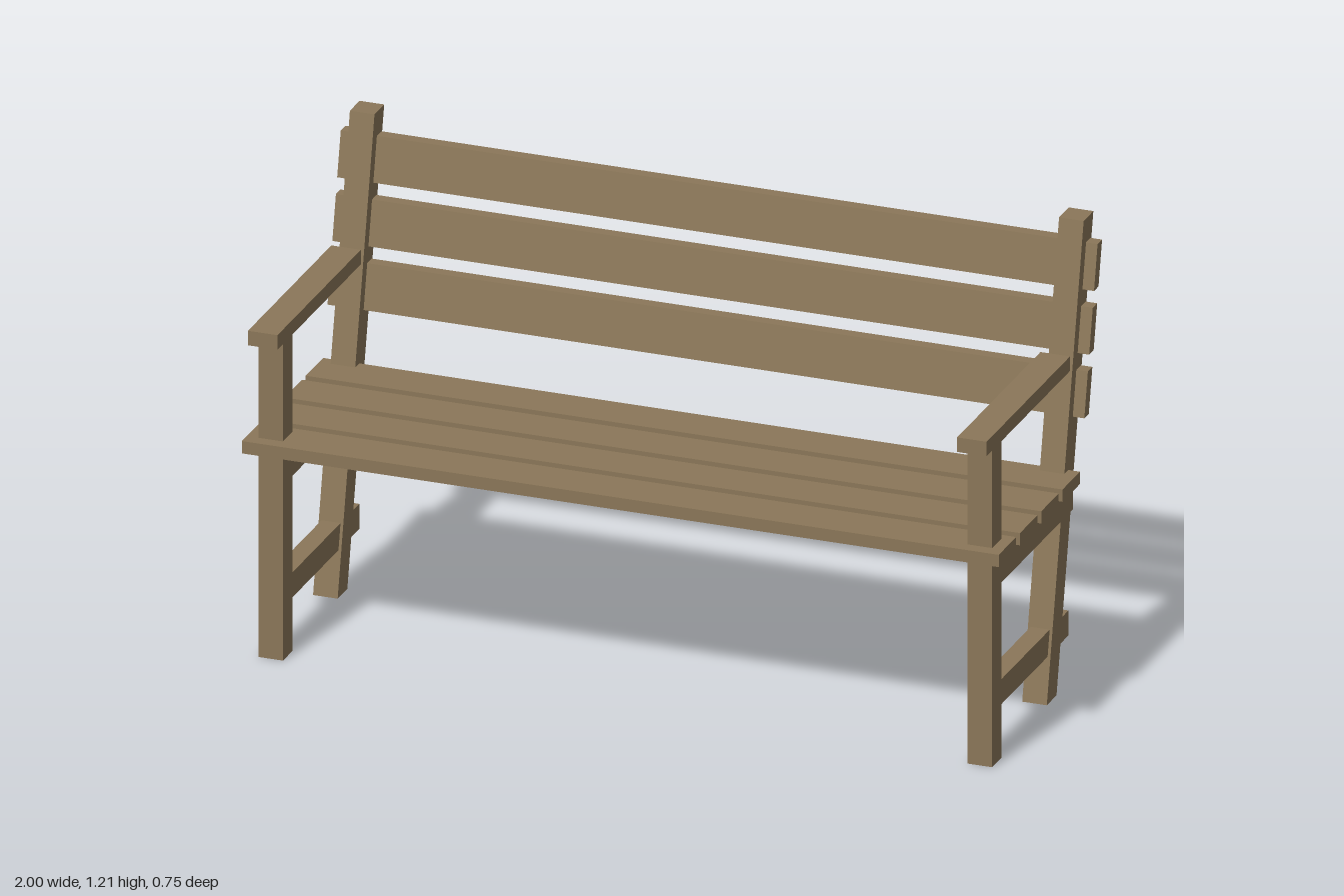
import * as THREE from 'three';

const SLOPE = -0.2122; // backward lean of the rear legs, z per unit of y
const LEG = 0.065;
const SIDE_X = 0.937;

// centre line of the leaning rear leg
const leanZ = (y) => -0.0865 + SLOPE * (y - 0.016);

export function createModel() {
  const bench = new THREE.Group();
  bench.name = 'bench';
  const wood = new THREE.MeshStandardMaterial({ color: 0x8b7759 });
  wood.name = 'wood';

  // Box given by its centre x, width and its y and z limits
  const board = (name, x, width, y0, y1, z0, z1, parent) => {
    const mesh = new THREE.Mesh(new THREE.BoxGeometry(width, y1 - y0, z1 - z0), wood);
    mesh.position.set(x, (y0 + y1) / 2, (z0 + z1) / 2);
    mesh.name = name;
    parent.add(mesh);
  };

  // Box sheared along the lean, keeping its top and bottom level
  const leaningBoard = (name, x, width, y0, y1, depth, offset, parent) => {
    const geometry = new THREE.BoxGeometry(width, y1 - y0, depth);
    geometry.applyMatrix4(new THREE.Matrix4().set(
      1, 0, 0, 0,
      0, 1, 0, 0,
      0, SLOPE, 1, 0,
      0, 0, 0, 1));
    geometry.computeVertexNormals();
    const mesh = new THREE.Mesh(geometry, wood);
    const y = (y0 + y1) / 2;
    mesh.position.set(x, y, leanZ(y) + offset);
    mesh.name = name;
    parent.add(mesh);
  };

  // Side frames
  for (const [side, sign] of [['left', 1], ['right', -1]]) {
    const frame = new THREE.Group();
    frame.name = side + 'Frame';
    const x = sign * SIDE_X;
    board('frontLeg', x, LEG, 0, 0.857, 0.26, 0.324, frame);
    leaningBoard('rearLeg', x, LEG, 0.016, 1.214, 0.067, 0, frame);
    board('seatRail', x, LEG, 0.47, 0.556, -0.234, 0.26, frame);
    board('stretcher', x, 0.05, 0.135, 0.202, -0.222, 0.26, frame);
    board('armrest', x, 0.078, 0.857, 0.896, -0.196, 0.379, frame);
    bench.add(frame);
  }

  // Seat slats, front to back
  for (let i = 0; i < 4; i++) {
    const z = 0.298 - i * 0.1467;
    board('seatSlat' + (i + 1), 0, 2, 0.555, 0.588, z - 0.06, z + 0.06, bench);
  }

  // Backrest slats, bottom to top
  for (let i = 0; i < 3; i++) {
    const y = 0.719 + i * 0.1575;
    leaningBoard('backSlat' + (i + 1), 0, 2, y, y + 0.116, 0.031, -0.012, bench);
  }

  return bench;
}
